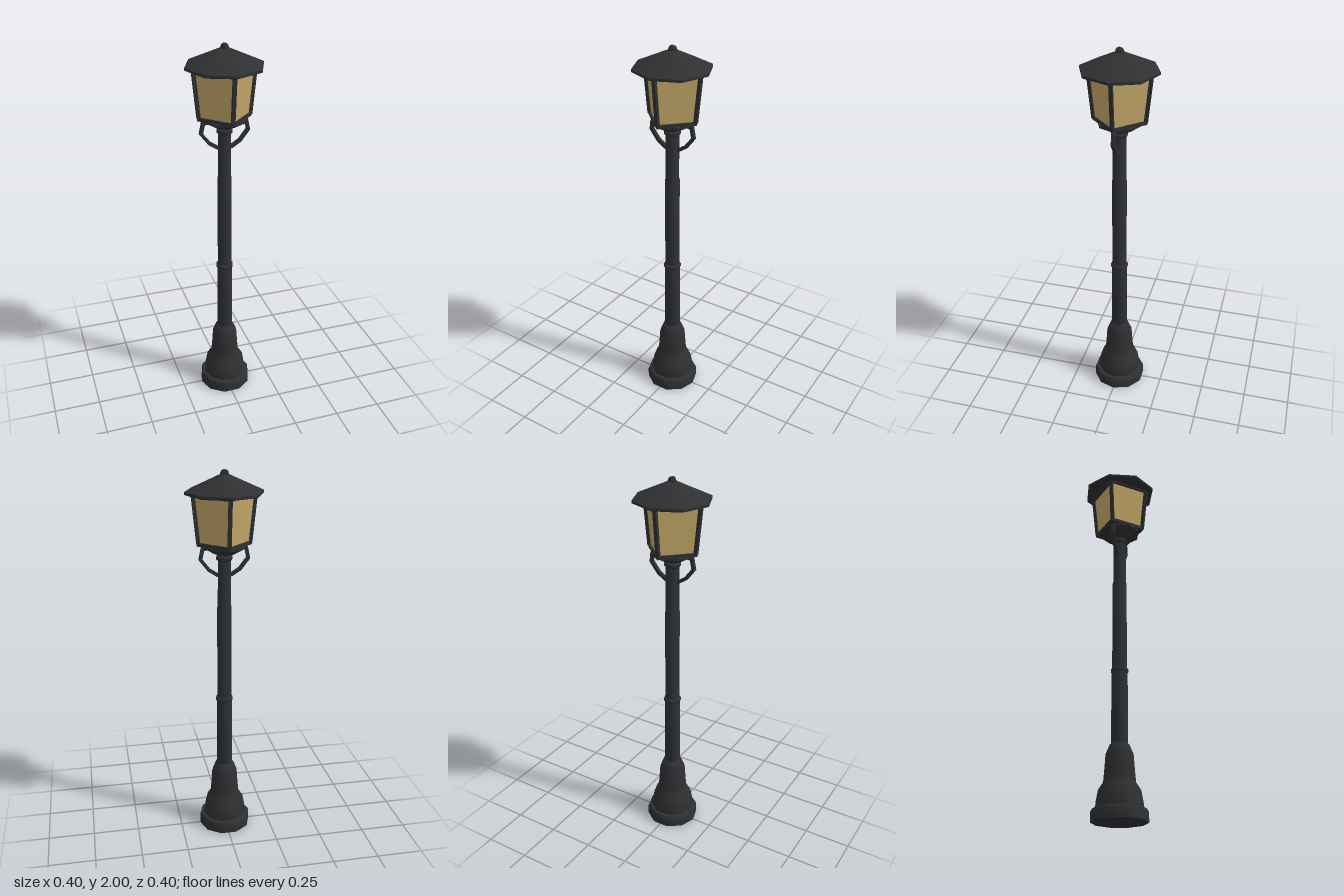
import * as THREE from 'three';
import { toCreasedNormals } from 'three/addons/utils/BufferGeometryUtils.js';

const iron = new THREE.MeshStandardMaterial({ color: 0x2e3032 });
const amber = new THREE.MeshStandardMaterial({ color: 0xc4a768 });

function add(parent, name, geometry, material = iron, crease = 0.7) {
  const mesh = new THREE.Mesh(toCreasedNormals(geometry, crease), material);
  mesh.name = name;
  parent.add(mesh);
  return mesh;
}

// Turned part from [radius, height] pairs, with a corner on the x axis
function turned(points, sides) {
  const profile = points.map(([r, y]) => new THREE.Vector2(r, y));
  return new THREE.LatheGeometry(profile, sides, Math.PI / 2);
}

// Straight square bar between two points
function bar(parent, name, a, b, width, depth) {
  const mesh = add(parent, name, new THREE.BoxGeometry(width, depth, a.distanceTo(b)));
  mesh.position.copy(a).add(b).multiplyScalar(0.5);
  mesh.lookAt(b);
}

// Flat bracket: a polyline thickened with mitred corners, then extruded
function bracket(points, width, depth) {
  const p = points.map(([x, y]) => new THREE.Vector2(x, y));
  const left = [], right = [];
  p.forEach((q, i) => {
    const d1 = p[Math.max(i, 1)].clone().sub(p[Math.max(i, 1) - 1]).normalize();
    const j = Math.min(i + 1, p.length - 1);
    const d2 = p[j].clone().sub(p[j - 1]).normalize();
    const d = d1.clone().add(d2).normalize();
    const n = new THREE.Vector2(-d.y, d.x).multiplyScalar(width / 2 / d.dot(d1));
    left.push(q.clone().add(n));
    right.unshift(q.clone().sub(n));
  });
  const shape = new THREE.Shape([...left, ...right]);
  return new THREE.ExtrudeGeometry(shape, { depth, bevelEnabled: false }).translate(0, 0, -depth / 2);
}

export function createModel() {
  const model = new THREE.Group();
  model.name = 'streetLamp';

  // Foot and bell-shaped base
  add(model, 'base', turned([
    [0, 0], [0.142, 0], [0.142, 0.05], [0.135, 0.064], [0.119, 0.066], [0.116, 0.1],
    [0.106, 0.155], [0.081, 0.195], [0.076, 0.25], [0.07, 0.335], [0.05, 0.383], [0.04, 0.39],
  ], 10));

  // Stepped post with a middle ring and a top collar
  add(model, 'post', turned([
    [0.043, 0.38], [0.042, 0.77], [0.039, 0.79], [0.038, 1.3], [0.035, 1.31], [0.034, 1.57],
  ], 10));
  add(model, 'postRing', turned([
    [0.04, 0.766], [0.046, 0.772], [0.046, 0.788], [0.038, 0.794],
  ], 10));
  add(model, 'collar', turned([
    [0.033, 1.545], [0.042, 1.553], [0.042, 1.568], [0.034, 1.574], [0.036, 1.582], [0.05, 1.588],
  ], 10));

  // Cup that carries the lantern
  add(model, 'lanternCup', turned([
    [0.03, 1.58], [0.055, 1.583], [0.085, 1.6], [0.113, 1.615], [0.113, 1.628], [0, 1.628],
  ], 8));

  // Side brackets
  for (const side of [1, -1]) {
    const arm = add(model, side > 0 ? 'leftBracket' : 'rightBracket', bracket([
      [0.02, 1.47], [0.038, 1.473], [0.08, 1.5], [0.123, 1.555], [0.112, 1.609], [0.085, 1.612],
    ], 0.017, 0.018));
    if (side < 0) arm.rotation.y = Math.PI;
  }

  // Lantern: four tapered panes with corners on the axes
  const lantern = new THREE.Group();
  lantern.name = 'lantern';
  model.add(lantern);
  const low = 1.635, high = 1.88, rLow = 0.133, rHigh = 0.158;
  add(lantern, 'glass', turned([[0, low], [rLow - 0.005, low], [rHigh - 0.005, high], [0, high]], 4), amber);
  add(lantern, 'bottomPlate', turned([[0, 1.624], [0.142, 1.624], [0.142, 1.642], [0, 1.642]], 4));

  const corner = (i, r, y) =>
    new THREE.Vector3(r * Math.cos(i * Math.PI / 2), y, r * Math.sin(i * Math.PI / 2));
  for (let i = 0; i < 4; i++) {
    bar(lantern, 'cornerBar', corner(i, rLow, low), corner(i, rHigh, high), 0.018, 0.018);
    bar(lantern, 'topRail', corner(i, rHigh, 1.876), corner(i + 1, rHigh, 1.876), 0.016, 0.014);
  }

  // Octagonal roof and finial
  add(model, 'roof', turned([
    [0, 1.877], [0.19, 1.877], [0.2, 1.882], [0.2, 1.894], [0.024, 1.974], [0, 1.976],
  ], 8));
  const finial = add(model, 'finial', new THREE.SphereGeometry(0.024, 5, 4));
  finial.position.y = 1.976;

  return model;
}
